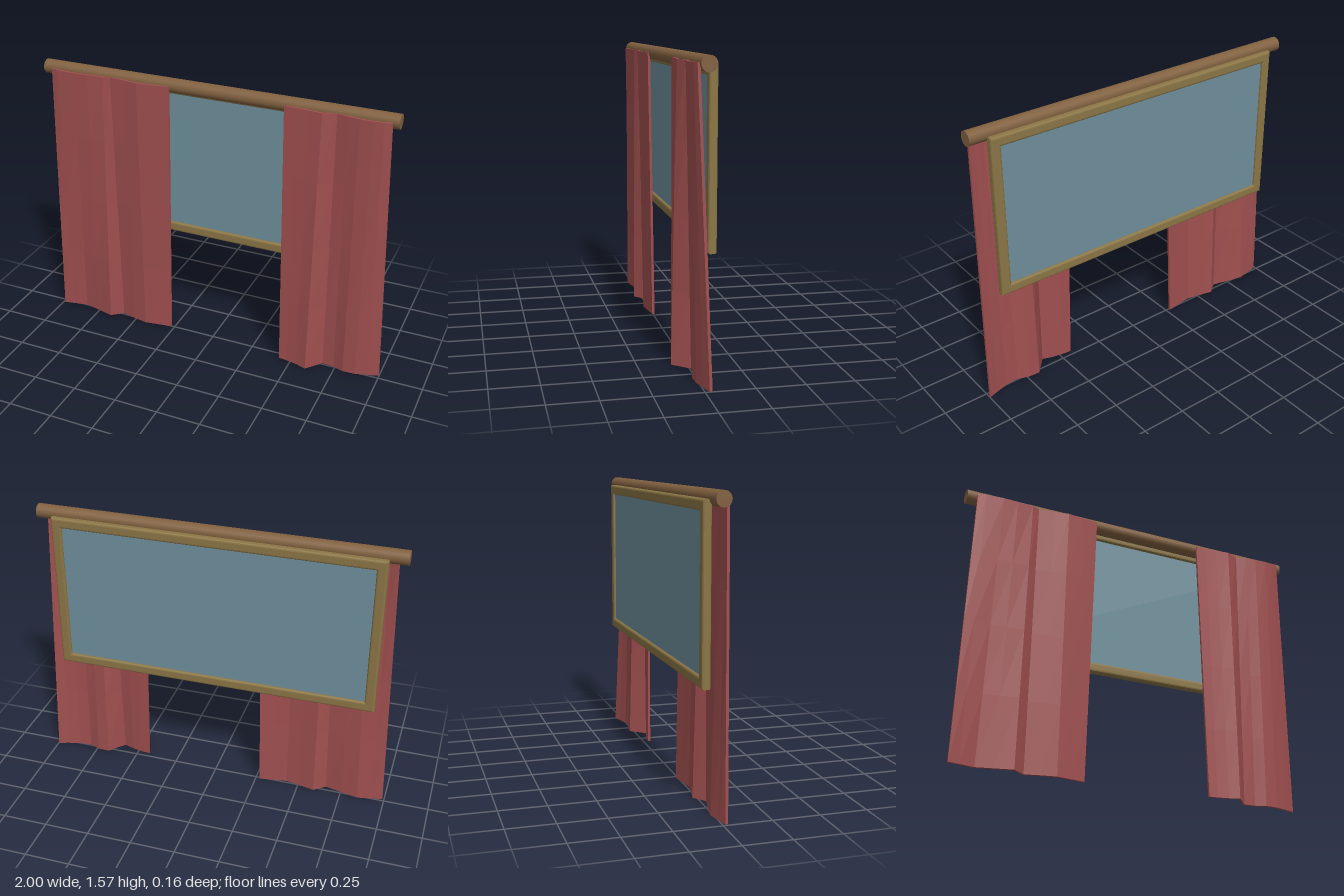
import * as THREE from 'three';

const mat = (color, extra = {}) => new THREE.MeshStandardMaterial({ color, ...extra });

function part(name, geometry, material, x = 0, y = 0, z = 0) {
  const mesh = new THREE.Mesh(geometry, material);
  mesh.name = name;
  mesh.position.set(x, y, z);
  return mesh;
}

// Rectangle path centred on the origin
function rect(target, w, h) {
  target.moveTo(-w / 2, -h / 2);
  target.lineTo(w / 2, -h / 2);
  target.lineTo(w / 2, h / 2);
  target.lineTo(-w / 2, h / 2);
  target.closePath();
  return target;
}

// Closed cloth slab lofted between a top and a bottom fold line of [x, z] points
function clothGeometry(top, bottom, height, half) {
  const rows = 4, n = top.length, pos = [], idx = [];
  for (let r = 0; r <= rows; r++) {
    const t = r / rows;
    const line = bottom.map(([x, z], i) => [
      THREE.MathUtils.lerp(x, top[i][0], t), THREE.MathUtils.lerp(z, top[i][1], t)]);
    for (const [x, z] of line) pos.push(x, height * t, z + half);
    for (const [x, z] of [...line].reverse()) pos.push(x, height * t, z - half);
  }
  const ring = 2 * n;
  for (let r = 0; r < rows; r++) {
    for (let i = 0; i < ring; i++) {
      const a = r * ring + i, b = r * ring + (i + 1) % ring;
      idx.push(a, b, b + ring, a, b + ring, a + ring);
    }
  }
  // Top and bottom hems
  for (let i = 0; i < n - 1; i++) {
    const f0 = i, f1 = i + 1, b0 = ring - 1 - i, b1 = ring - 2 - i, up = rows * ring;
    idx.push(f0, b1, f1, f0, b0, b1);
    idx.push(up + f0, up + f1, up + b1, up + f0, up + b1, up + b0);
  }
  const g = new THREE.BufferGeometry();
  g.setAttribute('position', new THREE.Float32BufferAttribute(pos, 3));
  g.setIndex(idx);
  g.computeVertexNormals();
  return g;
}

export function createModel() {
  const model = new THREE.Group();
  model.name = 'curtainedWindow';

  // Curtain rod
  const rod = part('curtainRod', new THREE.CylinderGeometry(0.039, 0.039, 1.99, 32), mat(0x80603f), -0.005, 1.535, -0.012);
  rod.rotation.z = Math.PI / 2;
  model.add(rod);

  // Window frame with rounded edges, and its pane
  const W = 1.8, H = 0.89, border = 0.056, bevel = 0.012, depth = 0.045;
  const outline = rect(new THREE.Shape(), W - 2 * bevel, H - 2 * bevel);
  outline.holes.push(rect(new THREE.Path(), W - 2 * border + 2 * bevel, H - 2 * border + 2 * bevel));
  const frameGeo = new THREE.ExtrudeGeometry(outline, {
    depth: depth - 2 * bevel, bevelEnabled: true, bevelSize: bevel, bevelThickness: bevel, bevelSegments: 3 });
  frameGeo.translate(0, 0, bevel - depth / 2);
  const frameY = 1.085, frameZ = -0.057;
  model.add(part('windowFrame', frameGeo, mat(0x8a7545), -0.005, frameY, frameZ));
  model.add(part('windowPane', new THREE.BoxGeometry(W - 2 * border + 0.01, H - 2 * border + 0.01, 0.016),
    mat(0x6f8f9c), -0.005, frameY, frameZ));

  // Curtains, folds deepening and spreading towards the floor
  const cloth = mat(0xa04f4f, { flatShading: true, side: THREE.DoubleSide });
  const rightTop = [[-0.945, 0.028], [-0.9, 0.04], [-0.8, 0.045], [-0.72, 0.042], [-0.63, 0.034],
    [-0.59, 0.021], [-0.5, 0.033], [-0.42, 0.047], [-0.33, 0.037], [-0.24, 0.026]];
  const rightBottom = [[-0.99, 0.02], [-0.93, 0.008], [-0.85, -0.008], [-0.76, 0.012], [-0.66, 0.036],
    [-0.595, -0.015], [-0.51, 0.006], [-0.43, 0.02], [-0.35, 0.008], [-0.272, -0.004]];
  const leftTop = [[0.402, 0.027], [0.46, 0.03], [0.53, 0.036], [0.608, 0.047], [0.678, 0.02],
    [0.74, 0.034], [0.8, 0.043], [0.87, 0.046], [0.92, 0.041], [0.957, 0.03]];
  const leftBottom = [[0.43, 0.035], [0.48, 0.04], [0.54, 0.052], [0.598, 0.072], [0.675, -0.015],
    [0.74, -0.012], [0.8, 0.01], [0.87, 0.006], [0.94, -0.012], [0.997, -0.03]];
  model.add(part('rightCurtain', clothGeometry(rightTop, rightBottom, 1.54, 0.007), cloth));
  model.add(part('leftCurtain', clothGeometry(leftTop, leftBottom, 1.54, 0.007), cloth));
  return model;
}
